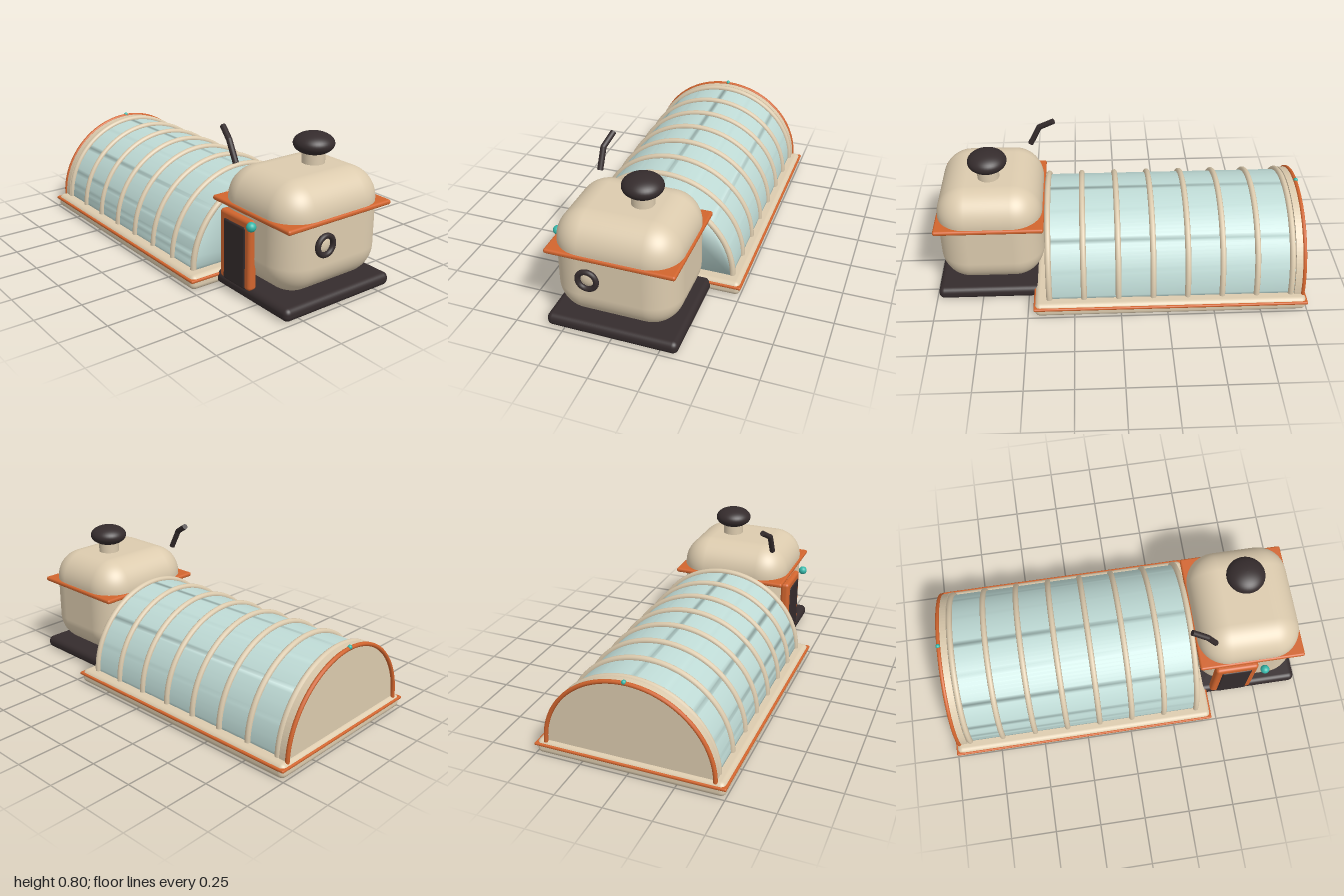
import * as THREE from 'three';
import { mergeVertices } from 'three/addons/utils/BufferGeometryUtils.js';
import { RoundedBoxGeometry } from 'three/addons/geometries/RoundedBoxGeometry.js';

const paint = (name, color) => {
  const m = new THREE.MeshStandardMaterial({ color });
  m.name = name;
  return m;
};

export function createModel() {
  const cream = paint('cream', 0xdccbae);
  const orange = paint('orange', 0xd2652e);
  const dark = paint('charcoal', 0x352c2d);
  const glass = paint('glass', 0xbfdbd6);
  const teal = paint('teal', 0x35b8aa);

  const model = new THREE.Group();
  model.name = 'kettleGreenhouse';

  const add = (name, geometry, material, x = 0, y = 0, z = 0, parent = model) => {
    const mesh = new THREE.Mesh(geometry, material);
    mesh.name = name;
    mesh.position.set(x, y, z);
    parent.add(mesh);
    return mesh;
  };
  // Rounded box given by its minimum and maximum corners
  const block = (name, material, [x0, y0, z0], [x1, y1, z1], r, seg = 4) =>
    add(name, new RoundedBoxGeometry(x1 - x0, y1 - y0, z1 - z0, seg, r), material,
      (x0 + x1) / 2, (y0 + y1) / 2, (z0 + z1) / 2);

  // Floor slab with its trim
  block('floorSlab', cream, [-0.995, 0, -0.498], [0.463, 0.077, 0.498], 0.03);
  block('floorTrim', orange, [-1, 0.046, -0.505], [0.468, 0.062, 0.505], 0.007, 3);

  // Vault cross-section: half an ellipse standing on the slab
  const FLOOR = 0.07;
  const vaultSolid = (halfWidth, height, x0, x1) => {
    const shape = new THREE.Shape();
    shape.absellipse(0, 0, halfWidth, height, 0, Math.PI, false, 0);
    shape.closePath();
    const g = new THREE.ExtrudeGeometry(shape, { depth: x1 - x0, bevelEnabled: false, curveSegments: 32 });
    return g.rotateY(Math.PI / 2).translate(x0, FLOOR, 0);
  };
  const hoop = (halfWidth, height, tube) => {
    const points = [];
    for (let i = 0; i <= 32; i++) {
      const a = (i / 32) * Math.PI;
      points.push(new THREE.Vector3(0, FLOOR + height * Math.sin(a), halfWidth * Math.cos(a)));
    }
    return new THREE.TubeGeometry(new THREE.CatmullRomCurve3(points), 64, tube, 10);
  };

  // Glazing, with normals shared between the shell and its ends
  let pane = vaultSolid(0.437, 0.42, -0.94, 0.395);
  pane.deleteAttribute('normal');
  pane.deleteAttribute('uv');
  pane = mergeVertices(pane, 1e-4);
  pane.computeVertexNormals();
  add('glassVault', pane, glass);

  // Ribs, end wall and end arch
  const ribGeometry = hoop(0.438, 0.425, 0.016);
  for (let i = 0; i < 8; i++) add('rib', ribGeometry, cream, -0.915 + i * 0.1855);
  add('endWall', vaultSolid(0.45, 0.435, -0.97, -0.932), cream);
  add('endArch', hoop(0.446, 0.433, 0.011), orange, -0.978);
  add('archBead', new THREE.SphereGeometry(0.012, 16, 12), teal, -0.98, 0.51, 0);

  // Pot house on its dark plinth
  block('plinth', dark, [0.405, 0.003, -0.342], [0.988, 0.071, 0.342], 0.03);
  block('potBody', cream, [0.41, 0.07, -0.32], [0.967, 0.63, 0.32], 0.16, 10);
  block('lidRim', orange, [0.4, 0.436, -0.33], [0.975, 0.461, 0.33], 0.011, 3);

  // Lid knob
  add('knobNeck', new THREE.CylinderGeometry(0.058, 0.058, 0.07, 32), cream, 0.688, 0.66, -0.07);
  const profile = [new THREE.Vector2(0, -0.048)];
  for (let i = 0; i <= 20; i++) {
    const a = -1.05 + (i / 20) * (1.05 + Math.PI / 2);
    profile.push(new THREE.Vector2(Math.max(0, 0.103 * Math.cos(a)), 0.056 * Math.sin(a)));
  }
  add('lidKnob', new THREE.LatheGeometry(profile, 40), dark, 0.688, 0.728, -0.07);

  // Porthole on the right-hand wall
  const ring = add('portholeRing', new THREE.TorusGeometry(0.048, 0.014, 14, 36), dark, 0.98, 0.337, 0.107);
  ring.rotation.y = Math.PI / 2;
  const dome = add('portholeDome', new THREE.SphereGeometry(0.04, 24, 16), cream, 0.964, 0.337, 0.107);
  dome.scale.x = 0.4;

  // Door with its frame and handle
  block('doorFrame', orange, [0.487, 0.06, 0.3], [0.722, 0.425, 0.35], 0.018);
  block('doorPanel', dark, [0.522, 0.063, 0.297], [0.69, 0.387, 0.356], 0.012);
  add('doorHandle', new THREE.SphereGeometry(0.024, 20, 14), teal, 0.75, 0.415, 0.364);

  // Bent spout pipe: two straight lengths and a round elbow
  const path = [[0.478, 0.63, 0.245], [0.425, 0.735, 0.245], [0.345, 0.783, 0.223]]
    .map((p) => new THREE.Vector3(...p));
  const spout = new THREE.Group();
  spout.name = 'spout';
  model.add(spout);
  for (let i = 0; i < 2; i++) {
    const run = path[i + 1].clone().sub(path[i]);
    const mid = path[i].clone().addScaledVector(run, 0.5);
    const pipe = add('spoutPipe', new THREE.CylinderGeometry(0.0155, 0.0155, run.length(), 18), dark,
      mid.x, mid.y, mid.z, spout);
    pipe.quaternion.setFromUnitVectors(new THREE.Vector3(0, 1, 0), run.normalize());
  }
  add('spoutElbow', new THREE.SphereGeometry(0.0155, 18, 12), dark, ...path[1].toArray(), spout);

  return model;
}
